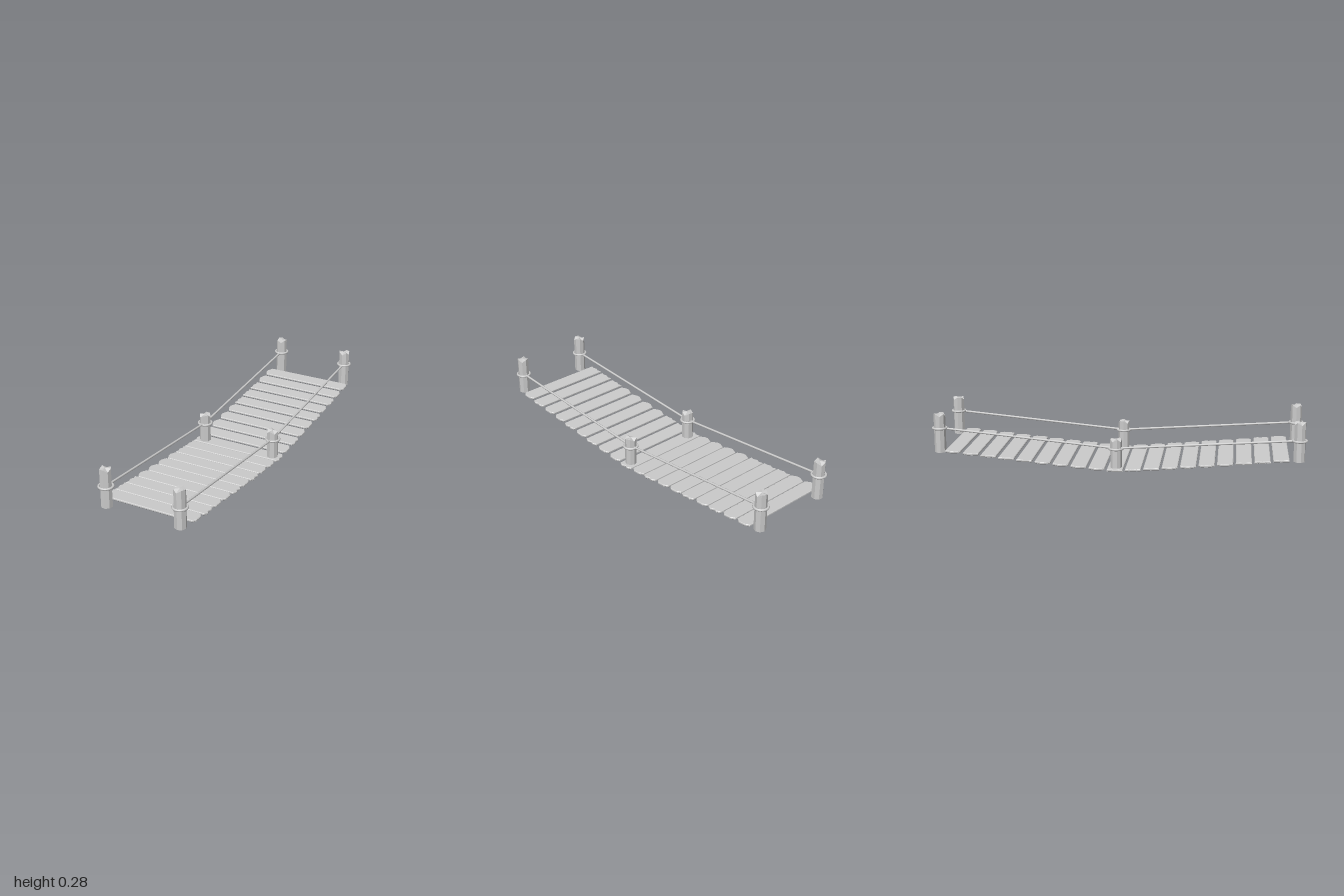
import * as THREE from 'three';

const material = new THREE.MeshStandardMaterial({ color: 0xcccccc, flatShading: true });
const smooth = new THREE.MeshStandardMaterial({ color: 0xcccccc });

const SIDES = [-0.208, 0.213];
const END_Z = 0.958;
const THICK = 0.012;

// Half-widths of each plank end, as [x, z] running from one long edge to the other
const LEFT_ENDS = [
  [[-0.252, 0.042], [-0.268, 0.008], [-0.266, -0.012], [-0.25, -0.042]],
  [[-0.262, 0.042], [-0.256, 0.02], [-0.265, 0.002], [-0.258, -0.02], [-0.262, -0.042]],
];
const RIGHT_ENDS = [
  [[0.245, -0.042], [0.26, -0.022], [0.26, 0.018], [0.247, 0.042]],
  [[0.255, -0.042], [0.265, -0.02], [0.257, 0.002], [0.263, 0.02], [0.252, 0.042]],
];

function plankGeometry(left, right) {
  const shape = new THREE.Shape([...left, ...right].map(([x, y]) => new THREE.Vector2(x, y)));
  const bevel = 0.003;
  const geometry = new THREE.ExtrudeGeometry(shape, {
    depth: THICK - 2 * bevel, bevelEnabled: true, bevelThickness: bevel,
    bevelSize: bevel, bevelOffset: -bevel, bevelSegments: 1,
  });
  geometry.translate(0, 0, bevel - THICK / 2);
  return geometry.rotateX(-Math.PI / 2);
}

// Eight-sided post whose top rim is chipped at a few corners
function postGeometry(height, turn) {
  const geometry = new THREE.CylinderGeometry(0.031, 0.031, height, 8);
  const p = geometry.attributes.position;
  const chipped = [1, 4, 6];
  for (let i = 0; i < p.count; i++) {
    const x = p.getX(i), z = p.getZ(i);
    if (p.getY(i) < 0 || Math.hypot(x, z) < 0.01) continue;
    const corner = (Math.round(Math.atan2(x, z) / (Math.PI / 4)) + 8) % 8;
    if (chipped.includes(corner)) p.setY(i, height / 2 - 0.014);
  }
  return geometry.rotateY(turn).translate(0, height / 2, 0);
}

export function createModel() {
  const group = new THREE.Group();
  const add = (name, geometry, mat, x = 0, y = 0, z = 0) => {
    const mesh = new THREE.Mesh(geometry, mat);
    mesh.name = name;
    mesh.position.set(x, y, z);
    group.add(mesh);
    return mesh;
  };

  // Walkway planks on a sagging line
  for (let i = 0; i < 19; i++) {
    const z = -0.881 + i * 0.097;
    const t = Math.abs(z) / 0.873;
    const y = 0.007 + 0.078 * Math.pow(t, 1.12);
    const left = LEFT_ENDS[[0, 0, 1, 1, 1, 0, 0][i % 7]];
    const right = RIGHT_ENDS[[0, 0, 1, 0, 1][i % 5]];
    const plank = add('plank', plankGeometry(left, right), material, 0, y, z);
    plank.rotation.x = -Math.sign(i - 9) * 0.04;
  }

  // Posts with a rope loop around each: z, base, top, loop height
  const stations = [
    [END_Z, 0.073, 0.285, 0.184],
    [-0.005, 0.01, 0.17, 0.117],
    [-END_Z, 0.073, 0.285, 0.205],
  ];
  SIDES.forEach((x, s) => {
    stations.forEach(([z, base, top, loopY], i) => {
      add('post', postGeometry(top - base, 0.25 + s * 1.3 + i * 0.785), material, x, base, z);
      const loop = new THREE.TorusGeometry(0.036, 0.0065, 8, 24).rotateX(Math.PI / 2);
      add('ropeLoop', loop, smooth, x, loopY, z);
    });

    // Straight hand ropes between neighbouring posts
    for (let i = 0; i < 2; i++) {
      const [a, b] = [stations[i], stations[i + 1]].map(([z, , , y]) => new THREE.Vector3(x, y, z));
      add('handRope', new THREE.TubeGeometry(new THREE.LineCurve3(a, b), 1, 0.006, 8), smooth);
    }
  });

  return group;
}
